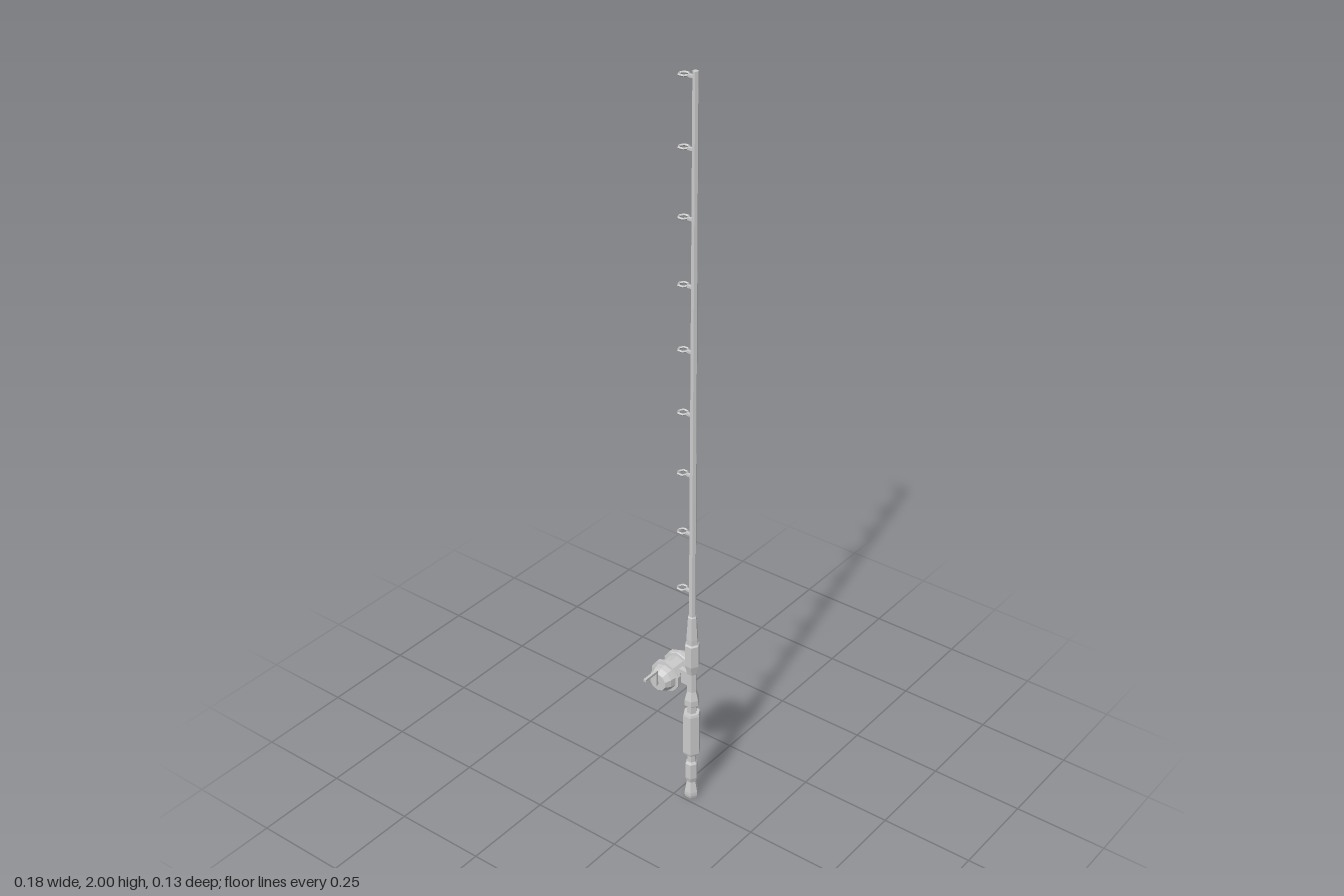
import * as THREE from 'three';

const ROD_X = 0.025, ROD_Z = 0.039;
const REEL_Y = 0.38, REEL_Z = -0.023;

export function createModel() {
  const model = new THREE.Group();
  const grey = new THREE.MeshStandardMaterial({ color: 0xcccccc, flatShading: true });

  function add(parent, name, geometry, x = 0, y = 0, z = 0) {
    const mesh = new THREE.Mesh(geometry, grey);
    mesh.name = name;
    mesh.position.set(x, y, z);
    parent.add(mesh);
    return mesh;
  }
  // profile: pairs of [radius, height]
  const turned = (profile, sides, start = 0) => new THREE.LatheGeometry(
    profile.map(([r, y]) => new THREE.Vector2(r, y)), sides, start);

  // Rod: hexagonal turned parts along one vertical axis
  const rod = new THREE.Group();
  rod.name = 'rod';
  rod.position.set(ROD_X, 0, ROD_Z);
  model.add(rod);
  add(rod, 'buttGrip', turned([
    [0, 0], [0.017, 0], [0.019, 0.008], [0.019, 0.018], [0.013, 0.05],
    [0.017, 0.065], [0.017, 0.11], [0.012, 0.117], [0.012, 0.15]], 6));
  add(rod, 'mainGrip', turned([
    [0.012, 0.144], [0.022, 0.144], [0.024, 0.15], [0.024, 0.27],
    [0.022, 0.277], [0.012, 0.277]], 6));
  add(rod, 'foreGrip', turned([
    [0.013, 0.27], [0.013, 0.297], [0.02, 0.303], [0.02, 0.32], [0.013, 0.345],
    [0.013, 0.4], [0.02, 0.428], [0.02, 0.49], [0.016, 0.494]], 6));
  add(rod, 'ferrule', turned([
    [0.016, 0.49], [0.016, 0.51], [0.012, 0.575], [0.009, 0.578]], 6));
  add(rod, 'blank', turned([[0.0095, 0.57], [0.0075, 2], [0, 2]], 6));

  // Line guides: a small flat hexagonal ring on a short stem, evenly spaced
  for (let i = 0; i < 9; i++) {
    const guide = new THREE.Group();
    guide.name = 'lineGuide';
    guide.position.set(0, 0.65 + i * 0.167, 0);
    rod.add(guide);
    const ring = add(guide, 'guideRing', new THREE.TorusGeometry(0.0125, 0.003, 4, 6), 0, 0, -0.031);
    ring.rotation.set(Math.PI / 2, 0, Math.PI / 6);
    add(guide, 'guideStem', new THREE.BoxGeometry(0.008, 0.006, 0.014), 0, 0, -0.012);
  }

  // Reel: its axis lies along x
  const reel = new THREE.Group();
  reel.name = 'reel';
  reel.position.set(ROD_X, REEL_Y, REEL_Z);
  model.add(reel);
  const spool = add(reel, 'spool', turned([[0.034, -0.025], [0.034, 0.025]], 10, Math.PI / 2));
  spool.rotation.z = -Math.PI / 2;
  for (const side of [-1, 1]) {
    // End cap with its flange, turned outward on either side
    const cap = add(reel, 'endCap', turned([
      [0.034, 0.018], [0.042, 0.019], [0.0445, 0.021], [0.0445, 0.032], [0.036, 0.033],
      [0.033, 0.048], [0.025, 0.0625], [0, 0.0625]], 10, Math.PI / 2));
    cap.rotation.z = -side * Math.PI / 2;
  }
  add(reel, 'reelFoot', new THREE.BoxGeometry(0.014, 0.04, 0.03), 0, 0, 0.04);

  // Crank: arm rising from the hub, handle pointing outward
  add(reel, 'crankArm', new THREE.BoxGeometry(0.006, 0.044, 0.007), -0.068, 0.016, 0);
  add(reel, 'crankHub', new THREE.BoxGeometry(0.012, 0.007, 0.007), -0.064, 0, 0);
  add(reel, 'crankHandle', new THREE.BoxGeometry(0.05, 0.007, 0.007), -0.09, 0.0355, 0);

  return model;
}
